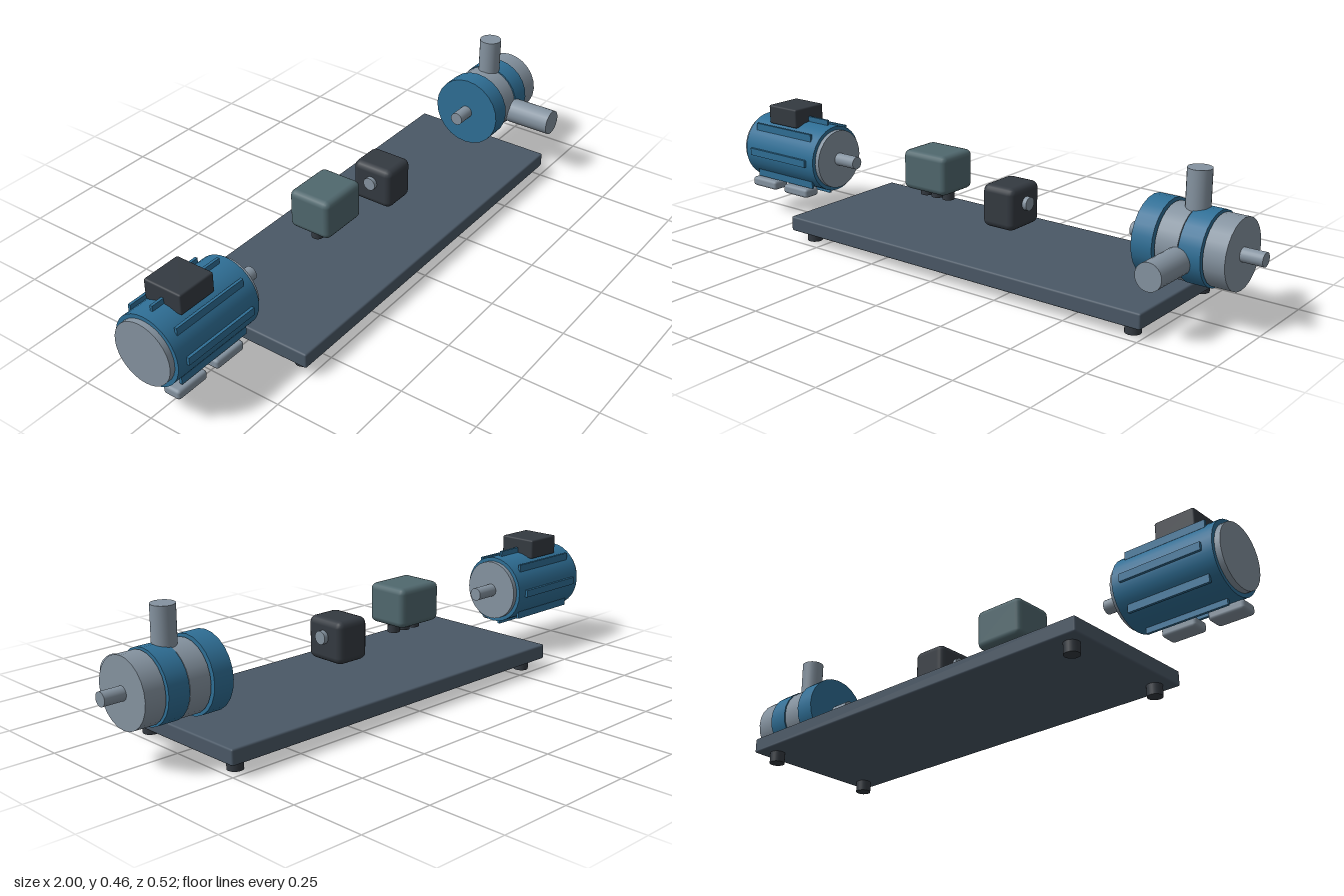
import * as THREE from 'three';
import { RoundedBoxGeometry } from 'three/addons/geometries/RoundedBoxGeometry.js';

const AXIS_Y = 0.228, AXIS_Z = -0.005;
const paint = (color) => new THREE.MeshStandardMaterial({ color });

export function createModel() {
  const root = new THREE.Group();
  const blue = paint(0x2f6f96), steel = paint(0x8593a0), slate = paint(0x4a5866);
  const dark = paint(0x343a41), teal = paint(0x50686e);

  const section = (name) => {
    const g = new THREE.Group();
    g.name = name;
    root.add(g);
    return g;
  };
  const add = (parent, name, geometry, material, x, y, z) => {
    const m = new THREE.Mesh(geometry, material);
    m.name = name;
    m.position.set(x, y, z);
    parent.add(m);
    return m;
  };
  // Box given by its x, y and z ranges
  const box = (parent, name, mat, [x0, x1], [y0, y1], [z0, z1], r = 0.006) =>
    add(parent, name, new RoundedBoxGeometry(x1 - x0, y1 - y0, z1 - z0, 2, r), mat,
      (x0 + x1) / 2, (y0 + y1) / 2, (z0 + z1) / 2);
  // Cylinder lying on the shared shaft axis
  const drum = (parent, name, mat, x0, x1, r, sides = 24) => {
    const g = new THREE.CylinderGeometry(r, r, x1 - x0, sides).rotateZ(-Math.PI / 2);
    return add(parent, name, g, mat, (x0 + x1) / 2, AXIS_Y, AXIS_Z);
  };
  // Upright cylinder
  const post = (parent, name, mat, x, z, y0, y1, r, sides = 24) =>
    add(parent, name, new THREE.CylinderGeometry(r, r, y1 - y0, sides), mat, x, (y0 + y1) / 2, z);

  // Base plate on four feet
  const base = section('base');
  box(base, 'basePlate', slate, [-0.617, 0.757], [0.036, 0.086], [-0.258, 0.248]);
  for (const x of [-0.562, 0.703])
    for (const z of [-0.203, 0.193]) post(base, 'baseFoot', dark, x, z, 0, 0.037, 0.025);

  // Motor with end caps and shaft
  const motor = section('motor');
  drum(motor, 'motorBody', blue, -0.982, -0.648, 0.115, 32);
  drum(motor, 'rearCap', steel, -1.0, -0.98, 0.102, 32);
  drum(motor, 'frontCap', steel, -0.65, -0.632, 0.102, 32);
  drum(motor, 'motorShaft', steel, -0.635, -0.547, 0.022);
  // Cooling fins, all standing upright around the body
  for (let i = 0; i < 8; i++) {
    const a = (i * Math.PI) / 4;
    add(motor, 'coolingFin', new THREE.BoxGeometry(0.27, 0.025, 0.009), blue,
      -0.815, AXIS_Y + 0.12 * Math.cos(a), AXIS_Z + 0.12 * Math.sin(a));
  }
  box(motor, 'terminalBox', dark, [-0.906, -0.772], [0.328, 0.395], [-0.072, 0.062]);
  box(motor, 'motorFoot', steel, [-0.975, -0.858], [0.092, 0.124], [0.033, 0.094], 0.01);
  box(motor, 'motorFoot', steel, [-0.818, -0.702], [0.092, 0.124], [0.033, 0.094], 0.01);

  // Control box with cable glands underneath
  const control = section('controlBox');
  box(control, 'controlHousing', teal, [-0.27, -0.094], [0.209, 0.341], [-0.083, 0.067], 0.02);
  for (const dx of [-0.046, 0, 0.046])
    post(control, 'cableGland', dark, -0.182 + dx, AXIS_Z, 0.18, 0.215, 0.02, 16);

  // Coupling block with its stub shaft
  const coupling = section('coupling');
  box(coupling, 'couplingHousing', dark, [0.058, 0.18], [0.147, 0.286], [-0.08, 0.067], 0.022);
  drum(coupling, 'couplingShaft', steel, 0.045, 0.195, 0.022);

  // Pump: stacked casing rings on a through shaft
  const pump = section('pump');
  drum(pump, 'pumpShaft', steel, 0.572, 1.0, 0.022);
  drum(pump, 'pumpCore', dark, 0.65, 0.92, 0.095);
  drum(pump, 'pumpFlange', blue, 0.638, 0.706, 0.122);
  drum(pump, 'casingRing', steel, 0.711, 0.783, 0.113);
  drum(pump, 'casingRing', blue, 0.786, 0.857, 0.115);
  drum(pump, 'endCover', steel, 0.862, 0.93, 0.109);
  // Outlet on top, inlet at the front
  post(pump, 'outletPipe', steel, 0.782, AXIS_Z, AXIS_Y, 0.455, 0.037);
  const inlet = new THREE.CylinderGeometry(0.043, 0.043, 0.21, 24).rotateX(Math.PI / 2);
  add(pump, 'inletPipe', inlet, steel, 0.783, 0.205, 0.155);

  return root;
}
